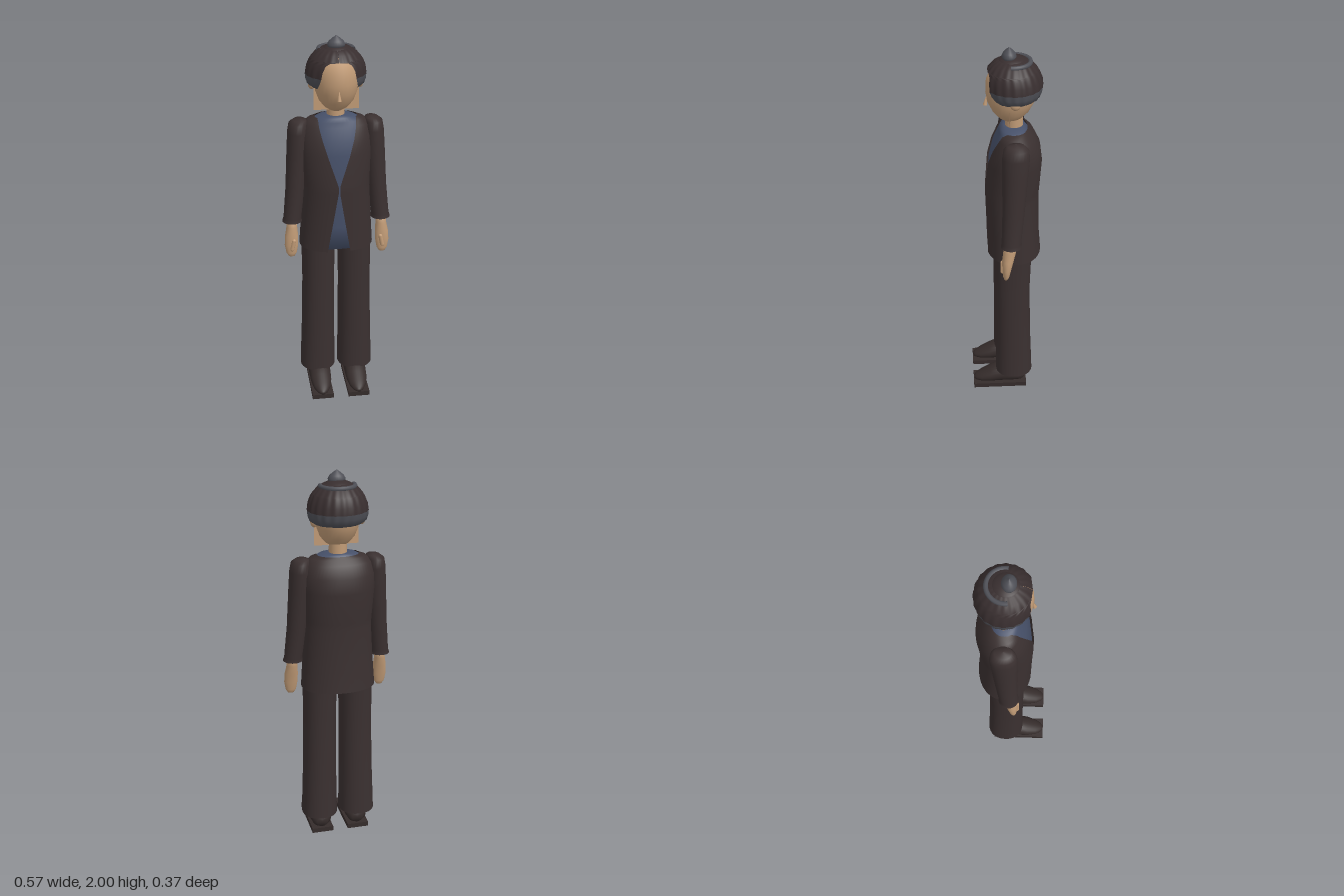
import * as THREE from 'three';

const mat = (name, color, side = THREE.FrontSide) => {
  const m = new THREE.MeshStandardMaterial({ color, side });
  m.name = name;
  return m;
};

// Skin over stacked oval rings. Row: [y, half width, front z, back z, centre x, half front gap]
function loft(rows, { n = 32, power = 1, open = false, caps = false, ripple = 0 } = {}) {
  const pos = [], idx = [];
  const sp = (v) => Math.sign(v) * Math.abs(v) ** power;
  const all = caps ? [collapse(rows[0]), ...rows, collapse(rows[rows.length - 1])] : rows;
  const cols = open ? n + 1 : n;
  for (const [y, rx, zf, zb, cx = 0, gap = 0] of all) {
    const a = open ? Math.asin(Math.min(1, gap / rx) ** (1 / power)) : 0;
    for (let j = 0; j < cols; j++) {
      const t = a + (j / n) * (2 * Math.PI - 2 * a);
      const k = 1 + ripple * Math.cos(t * 20);
      pos.push(cx + k * rx * sp(Math.sin(t)), y, (zf + zb) / 2 + k * ((zf - zb) / 2) * sp(Math.cos(t)));
    }
  }
  for (let i = 0; i < all.length - 1; i++) {
    for (let j = 0; j < n; j++) {
      const k = (j + 1) % cols;
      const a = i * cols + j, b = i * cols + k, c = b + cols, d = a + cols;
      idx.push(a, b, c, a, c, d);
    }
  }
  const g = new THREE.BufferGeometry();
  g.setAttribute('position', new THREE.Float32BufferAttribute(pos, 3));
  g.setIndex(idx);
  g.computeVertexNormals();
  return g;
}

function collapse([y, , zf, zb, cx = 0]) {
  const z = (zf + zb) / 2;
  return [y, 0.0005, z + 0.0005, z - 0.0005, cx];
}

export function createModel() {
  const model = new THREE.Group();
  const cloth = mat('dark suit', 0x3a3030, THREE.DoubleSide);
  const shirtMat = mat('blue shirt', 0x465069, THREE.DoubleSide);
  const skin = mat('skin', 0xc19b76, THREE.DoubleSide);
  const hairMat = mat('dark hair', 0x382e2f, THREE.DoubleSide);
  const grey = mat('grey hair', 0x4e4f56, THREE.DoubleSide);
  const shoeMat = mat('shoe', 0x352c2b);

  const add = (name, geometry, material, x = 0, y = 0, z = 0) => {
    const m = new THREE.Mesh(geometry, material);
    m.name = name;
    m.position.set(x, y, z);
    model.add(m);
    return m;
  };

  // Jacket, open down the front
  add('jacket', loft([
    [0.865, 0.195, 0.1, -0.185, 0, 0.06],
    [1.0, 0.186, 0.1, -0.174, 0, 0.037],
    [1.2, 0.175, 0.105, -0.17, 0, 0.004],
    [1.24, 0.177, 0.105, -0.174, 0, 0.004],
    [1.4, 0.188, 0.095, -0.185, 0, 0.056],
    [1.48, 0.187, 0.075, -0.175, 0, 0.08],
    [1.54, 0.172, 0.048, -0.145, 0, 0.094],
    [1.565, 0.145, 0.036, -0.122, 0, 0.096],
    [1.578, 0.108, 0.03, -0.11, 0, 0.098],
  ], { n: 48, power: 0.9, open: true }), cloth);

  // Shirt, rising to the neck
  add('shirt', loft([
    [0.875, 0.18, 0.085, -0.168],
    [1.0, 0.175, 0.088, -0.16],
    [1.22, 0.165, 0.096, -0.158],
    [1.4, 0.176, 0.085, -0.17],
    [1.48, 0.174, 0.066, -0.16],
    [1.535, 0.155, 0.042, -0.13],
    [1.56, 0.13, 0.033, -0.112],
    [1.58, 0.095, 0.026, -0.102],
    [1.588, 0.05, 0.008, -0.092],
  ], { n: 40, power: 0.9, caps: true }), shirtMat);

  for (const s of [1, -1]) {
    const side = s > 0 ? 'left' : 'right';

    // Sleeve with a flared cuff and lining
    add(side + 'Sleeve', loft([
      [1.01, 0.052, 0.036, -0.07, s * 0.235],
      [1.03, 0.047, 0.032, -0.068, s * 0.233],
      [1.2, 0.05, 0.027, -0.085, s * 0.215],
      [1.4, 0.055, 0.027, -0.102, s * 0.2],
      [1.5, 0.053, 0.027, -0.11, s * 0.196],
      [1.545, 0.048, 0.02, -0.105, s * 0.193],
      [1.562, 0.034, 0.0, -0.085, s * 0.185],
      [1.567, 0.002, -0.04, -0.044, s * 0.18],
    ], { n: 24 }), cloth);
    add(side + 'CuffLining', new THREE.CircleGeometry(0.045, 24).rotateX(Math.PI / 2), shirtMat, s * 0.234, 1.022, -0.018);

    // Hand and thumb
    add(side + 'Hand', loft([
      [0.815, 0.016, 0.02, 0.0, s * 0.243],
      [0.835, 0.028, 0.026, -0.008, s * 0.243],
      [0.88, 0.036, 0.03, -0.018, s * 0.243],
      [0.93, 0.035, 0.03, -0.03, s * 0.241],
      [0.98, 0.028, 0.024, -0.042, s * 0.238],
      [1.025, 0.028, 0.018, -0.046, s * 0.236],
    ], { n: 20, caps: true }), skin);
    const thumb = add(side + 'Thumb', new THREE.CapsuleGeometry(0.011, 0.05, 4, 10), skin, s * 0.236, 0.885, 0.028);
    thumb.rotation.z = s * 0.2;

    // Trouser leg
    add(side + 'TrouserLeg', loft([
      [0.105, 0.096, 0.06, -0.142, s * 0.104],
      [0.35, 0.09, 0.058, -0.132, s * 0.101],
      [0.65, 0.086, 0.06, -0.125, s * 0.098],
      [0.95, 0.09, 0.065, -0.135, s * 0.096],
    ], { n: 28, power: 0.9 }), cloth);

    // Shoe: rings run heel to toe, then turn to lie flat
    add(side + 'Shoe', loft([
      [-0.1, 0.03, -0.03, -0.085],
      [-0.08, 0.053, -0.02, -0.115],
      [-0.03, 0.06, -0.018, -0.13],
      [0.03, 0.06, -0.018, -0.13],
      [0.09, 0.057, -0.018, -0.1],
      [0.14, 0.045, -0.018, -0.072],
      [0.17, 0.028, -0.02, -0.055],
      [0.183, 0.012, -0.025, -0.042],
    ], { n: 24, caps: true }).rotateX(Math.PI / 2), shoeMat, s * 0.1);
    add(side + 'Sole', new THREE.BoxGeometry(0.117, 0.026, 0.295), shoeMat, s * 0.1, 0.013, 0.0375);

    // Ear
    add(side + 'Ear', new THREE.SphereGeometry(1, 16, 12), skin, s * 0.122, 1.748, -0.042).scale.set(0.018, 0.026, 0.026);
  }

  // Neck, head, nose and the flat panel behind the jaw
  add('neck', new THREE.CylinderGeometry(0.045, 0.046, 0.12, 24), skin, 0, 1.61, -0.043);
  add('head', loft([
    [1.617, 0.03, 0.01, -0.05],
    [1.635, 0.06, 0.035, -0.085],
    [1.67, 0.089, 0.065, -0.118],
    [1.72, 0.107, 0.09, -0.145],
    [1.77, 0.114, 0.098, -0.155],
    [1.83, 0.112, 0.095, -0.15],
    [1.89, 0.09, 0.07, -0.125],
  ], { n: 32, caps: true }), skin);
  const nose = add('nose', new THREE.ConeGeometry(0.011, 0.055, 8), skin, 0, 1.725, 0.096);
  nose.rotation.x = -0.15;
  add('jawPanel', new THREE.PlaneGeometry(0.23, 0.13), skin, 0, 1.683, -0.016);

  // Hair: grey lower band, dark crown, open over the face
  const wave = { n: 120, open: true, ripple: 0.012 };
  add('hairLowerBand', loft([
    [1.74, 0.122, 0.07, -0.15, 0, 0.1],
    [1.755, 0.143, 0.085, -0.17, 0, 0.1],
    [1.78, 0.151, 0.098, -0.18, 0, 0.092],
    [1.805, 0.153, 0.104, -0.184, 0, 0.086],
  ], wave), grey);
  add('hairCrown', loft([
    [1.805, 0.153, 0.104, -0.184, 0, 0.086],
    [1.84, 0.148, 0.104, -0.18, 0, 0.08],
    [1.87, 0.136, 0.097, -0.168, 0, 0.066],
    [1.884, 0.128, 0.09, -0.16, 0, 0.045],
    [1.888, 0.125, 0.087, -0.157, 0, 0.0005],
    [1.915, 0.102, 0.064, -0.135, 0, 0.0005],
    [1.935, 0.07, 0.032, -0.103, 0, 0.0005],
    [1.945, 0.002, -0.034, -0.038, 0, 0.0005],
  ], wave), hairMat);

  // Grey roll around the back of the crown, dark pad and pointed topknot
  const roll = new THREE.TorusGeometry(0.086, 0.012, 8, 32, Math.PI * 1.1).rotateZ(-Math.PI * 0.05).rotateX(-Math.PI / 2);
  add('hairRoll', roll, grey, 0, 1.924, -0.036);
  add('crownPad', new THREE.SphereGeometry(1, 28, 14), hairMat, 0, 1.918, -0.032).scale.set(0.074, 0.034, 0.074);
  const knot = [[0.02, 0], [0.042, 0.008], [0.045, 0.022], [0.036, 0.038], [0.02, 0.052], [0.008, 0.06], [0, 0.067]];
  add('topknot', new THREE.LatheGeometry(knot.map(([r, y]) => new THREE.Vector2(r, y)), 24), grey, 0, 1.933, -0.018)
    .scale.set(1, 1, 0.8);

  return model;
}
